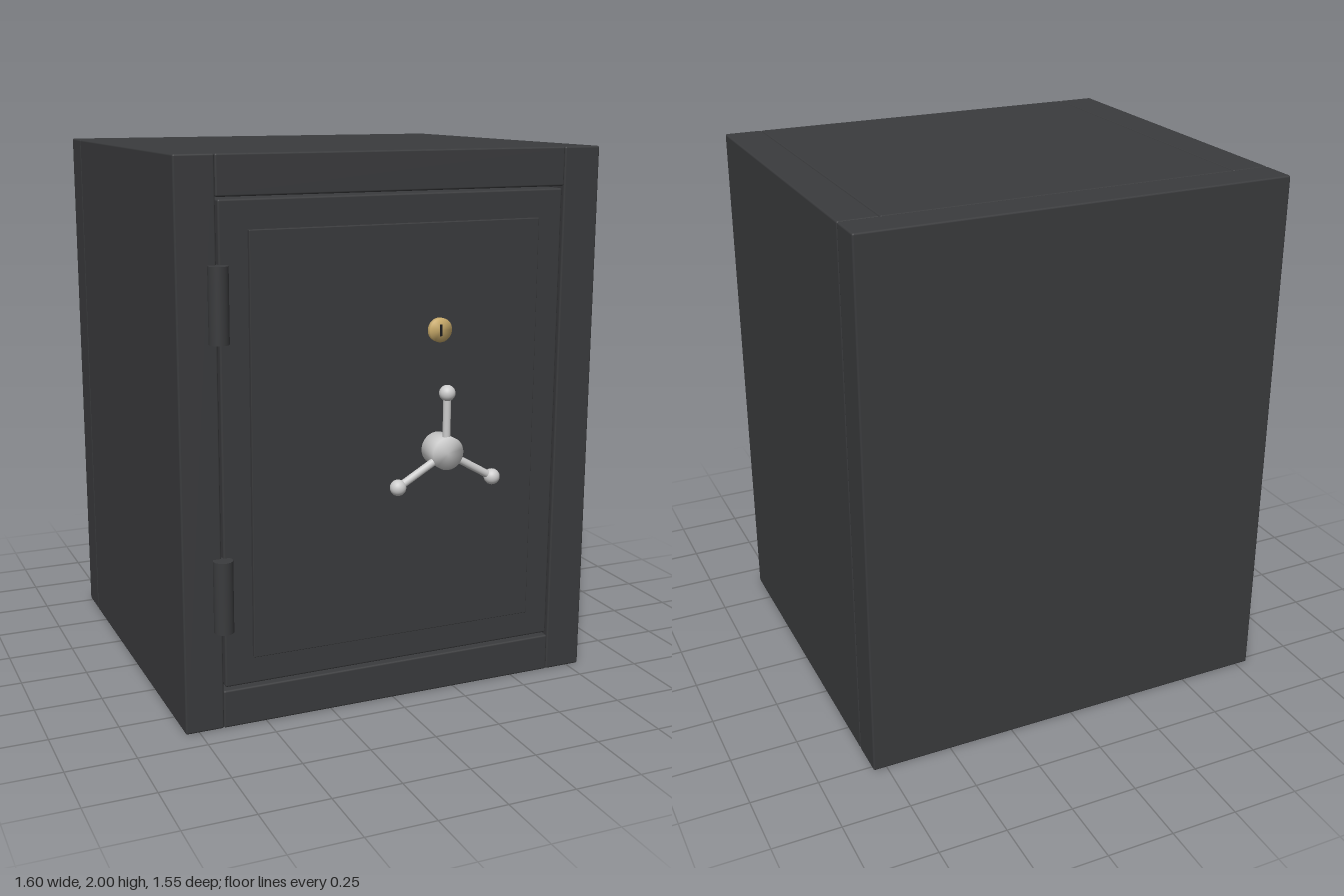
import * as THREE from 'three';
import { RoundedBoxGeometry } from 'three/addons/geometries/RoundedBoxGeometry.js';
import { mergeVertices } from 'three/addons/utils/BufferGeometryUtils.js';

const dark = new THREE.MeshStandardMaterial({ color: 0x3a3b3d });
const black = new THREE.MeshStandardMaterial({ color: 0x1c1c1e });
const steel = new THREE.MeshStandardMaterial({ color: 0xcccccc });
const brass = new THREE.MeshStandardMaterial({ color: 0xc8aa6a });

function add(parent, name, geometry, material, x = 0, y = 0, z = 0) {
  const mesh = new THREE.Mesh(geometry, material);
  mesh.name = name;
  mesh.position.set(x, y, z);
  parent.add(mesh);
  return mesh;
}

// Softly bevelled slab given by its two extreme corners
function slab(parent, name, [x0, y0, z0], [x1, y1, z1], bevel = 0.007) {
  const geometry = new RoundedBoxGeometry(x1 - x0, y1 - y0, z1 - z0, 2, bevel);
  return add(parent, name, geometry, dark, (x0 + x1) / 2, (y0 + y1) / 2, (z0 + z1) / 2);
}

// Cylinder along z whose normals blend over the rim
function softDisc(radius, depth) {
  const geometry = new THREE.CylinderGeometry(radius, radius, depth, 32).rotateX(Math.PI / 2);
  geometry.deleteAttribute('normal');
  geometry.deleteAttribute('uv');
  const merged = mergeVertices(geometry);
  merged.computeVertexNormals();
  return merged;
}

export function createModel() {
  const safe = new THREE.Group();
  safe.name = 'safe';

  // Cabinet
  const cabinet = new THREE.Group();
  cabinet.name = 'cabinet';
  safe.add(cabinet);
  slab(cabinet, 'backWall', [-0.8, 0, -0.775], [0.8, 2, -0.635]);
  slab(cabinet, 'leftWall', [0.656, 0, -0.635], [0.8, 2, 0.655]);
  slab(cabinet, 'rightWall', [-0.8, 0, -0.635], [-0.659, 2, 0.655]);
  slab(cabinet, 'topWall', [-0.659, 1.86, -0.635], [0.656, 2, 0.655]);
  slab(cabinet, 'bottomWall', [-0.659, 0, -0.635], [0.656, 0.14, 0.655]);

  // Door with raised panel
  const door = new THREE.Group();
  door.name = 'door';
  safe.add(door);
  slab(door, 'doorSlab', [-0.652, 0.153, 0.51], [0.648, 1.853, 0.655]);
  slab(door, 'doorPanel', [-0.55, 0.255, 0.63], [0.547, 1.752, 0.671], 0.003);

  // Hinges
  for (const y of [0.5, 1.51]) {
    add(safe, 'hinge', new THREE.CylinderGeometry(0.035, 0.035, 0.26, 24), dark, -0.66, y, 0.673);
  }

  // Key lock
  const lock = new THREE.Group();
  lock.name = 'keyLock';
  lock.position.set(0.152, 1.375, 0.67);
  door.add(lock);
  add(lock, 'lockCylinder', softDisc(0.043, 0.04), brass);
  add(lock, 'keySlot', new THREE.BoxGeometry(0.009, 0.042, 0.01), black, 0, 0, 0.0165);

  // Three-spoke handle
  const handle = new THREE.Group();
  handle.name = 'handle';
  handle.position.set(0.152, 0.945, 0.745);
  door.add(handle);
  add(handle, 'hub', softDisc(0.06, 0.1), steel, 0, 0, -0.033);
  for (let i = 0; i < 3; i++) {
    const spoke = new THREE.Group();
    spoke.name = 'spoke';
    spoke.rotation.z = i * Math.PI * 2 / 3;
    handle.add(spoke);
    add(spoke, 'rod', new THREE.CylinderGeometry(0.014, 0.014, 0.21, 16), steel, 0, 0.105, 0);
    add(spoke, 'knob', new THREE.SphereGeometry(0.029, 24, 16), steel, 0, 0.216, 0);
  }

  return safe;
}
